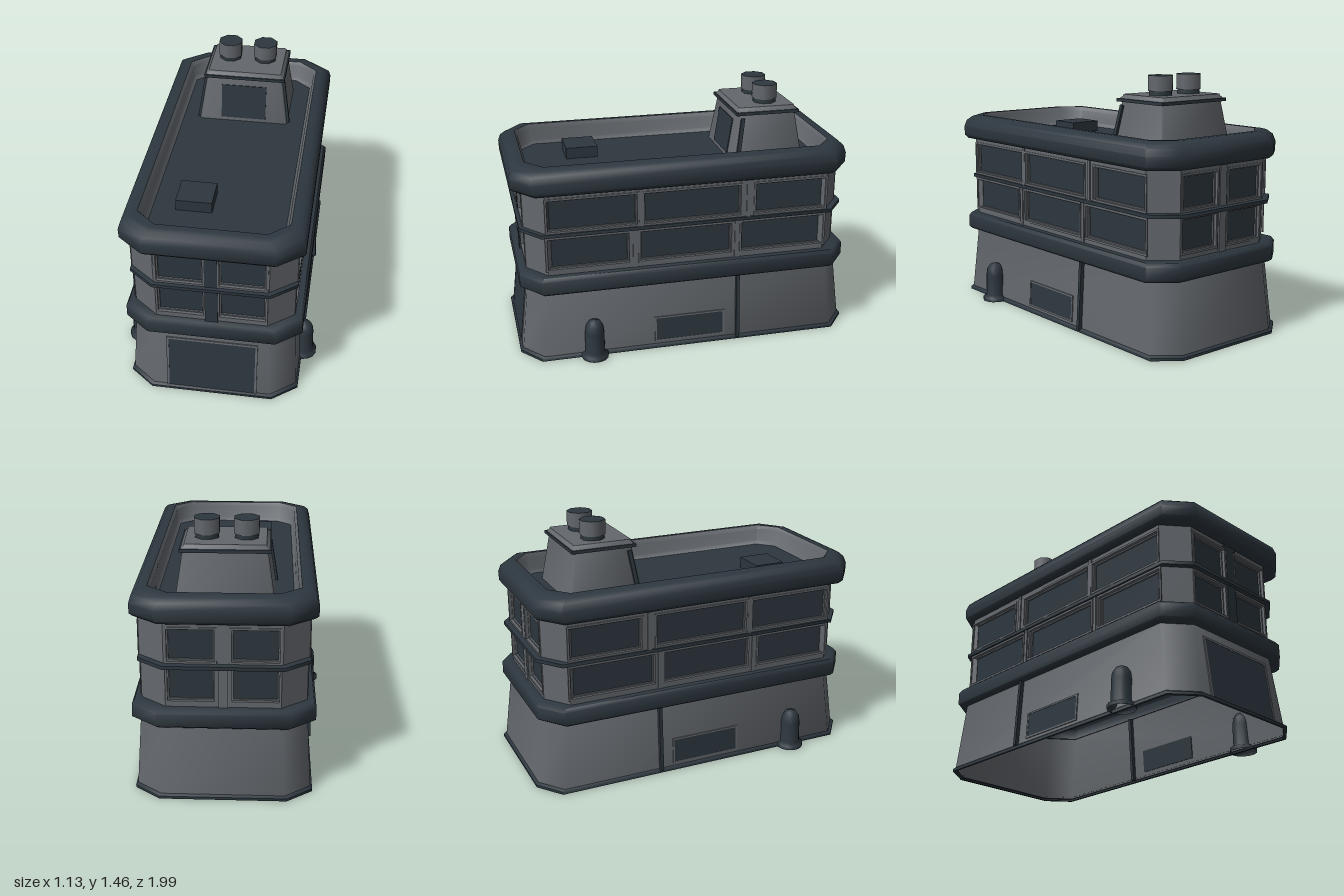
import * as THREE from 'three';
import { toCreasedNormals } from 'three/addons/utils/BufferGeometryUtils.js';

const dark = new THREE.MeshStandardMaterial({ color: 0x2d373f, side: THREE.DoubleSide });
dark.name = 'dark slate';
const grey = new THREE.MeshStandardMaterial({ color: 0x64686d, side: THREE.DoubleSide });
grey.name = 'cool grey';

function add(parent, name, geometry, material, x = 0, y = 0, z = 0) {
  const mesh = new THREE.Mesh(geometry, material);
  mesh.name = name;
  mesh.position.set(x, y, z);
  parent.add(mesh);
  return mesh;
}
const box = (w, h, d) => new THREE.BoxGeometry(w, h, d);

// Rectangle with cut corners, listed as [x, z]
function ring(hx, hz, cx = 0.14, cz = 0.11) {
  return [[-hx + cx, hz], [hx - cx, hz], [hx, hz - cz], [hx, -hz + cz],
    [hx - cx, -hz], [-hx + cx, -hz], [-hx, -hz + cz], [-hx, hz - cz]];
}

// Softly shaded shell through cut-corner rings: [y, hx, hz, cx, cz]
function loft(levels) {
  const pos = [];
  const rings = levels.map(([y, ...r]) => ring(...r).map(([x, z]) => [x, y, z]));
  for (let i = 0; i + 1 < rings.length; i++) {
    for (let k = 0; k < 8; k++) {
      const n = (k + 1) % 8;
      const a = rings[i][k], b = rings[i][n], c = rings[i + 1][n], d = rings[i + 1][k];
      pos.push(...a, ...b, ...c, ...a, ...c, ...d);
    }
  }
  const g = new THREE.BufferGeometry();
  g.setAttribute('position', new THREE.Float32BufferAttribute(pos, 3));
  return toCreasedNormals(g, 0.95);
}

function rectPath(Type, x0, x1, y0, y1) {
  return new Type([[x0, y0], [x1, y0], [x1, y1], [x0, y1]].map(p => new THREE.Vector2(...p)));
}
function panelGeometry(x0, x1, y0, y1, holes, depth) {
  const s = rectPath(THREE.Shape, x0, x1, y0, y1);
  for (const h of holes) s.holes.push(rectPath(THREE.Path, ...h));
  return new THREE.ExtrudeGeometry(s, { depth, bevelEnabled: false });
}
const frameGeometry = (x0, x1, y0, y1, t, depth) =>
  panelGeometry(x0 - t, x1 + t, y0 - t, y1 + t, [[x0, x1, y0, y1]], depth);

// One storey: eight wall panels with recessed windows
function storey(name, hx, hz, y0, y1, win, sideWindows, ribs) {
  const g = new THREE.Group();
  g.name = name;
  const pts = ring(hx, hz);
  const ends = [[-0.295, -0.045], [0.045, 0.295]];
  const flip = list => list.map(([a, b]) => [-b, -a]);
  const layout = { 0: ends, 2: flip(sideWindows), 4: ends, 6: sideWindows };
  for (let k = 0; k < 8; k++) {
    const a = new THREE.Vector3(pts[k][0], 0, pts[k][1]);
    const q = pts[(k + 1) % 8];
    const b = new THREE.Vector3(q[0], 0, q[1]);
    const dir = b.clone().sub(a), half = dir.length() / 2;
    const face = new THREE.Group();
    face.name = k % 2 ? 'cornerWall' : 'windowWall';
    face.position.copy(a).lerp(b, 0.5);
    face.rotation.y = Math.atan2(-dir.z, dir.x);
    g.add(face);
    const holes = (layout[k] || []).map(([u0, u1]) => [u0, u1, ...win]);
    add(face, 'wall', panelGeometry(-half, half, y0, y1, holes, 0.03), grey, 0, 0, -0.03);
    for (const [u0, u1, v0, v1] of holes) {
      add(face, 'windowPane', box(u1 - u0, v1 - v0, 0.008), dark, (u0 + u1) / 2, (v0 + v1) / 2, -0.026);
      add(face, 'windowReveal', frameGeometry(u0 + 0.008, u1 - 0.008, v0 + 0.008, v1 - 0.008, 0.008, 0.01),
        grey, 0, 0, -0.022);
      add(face, 'windowFrame', frameGeometry(u0, u1, v0, v1, 0.012, 0.005), grey);
    }
    if (k === 2 || k === 6) {
      for (const r of ribs) {
        add(face, 'wallRib', box(0.022, y1 - y0, 0.012), grey, k === 2 ? -r : r, (y0 + y1) / 2, 0);
      }
    }
  }
  return g;
}

export function createModel() {
  const model = new THREE.Group();
  model.name = 'twoStoreyBlock';

  // Flared, open-bottomed base
  add(model, 'baseWalls', loft([[0.015, 0.475, 0.976], [0.42, 0.452, 0.93]]), grey, 0, 0, -0.01);
  add(model, 'baseSkirt', loft([[0, 0.472, 0.976], [0, 0.485, 0.99], [0.015, 0.485, 0.99], [0.025, 0.474, 0.976]]),
    dark, 0, 0, -0.009);

  // Front gate
  const gate = new THREE.Group();
  gate.name = 'frontGate';
  gate.position.set(0, 0.02, 0.966);
  gate.rotation.x = -Math.atan2(0.046, 0.405);
  add(gate, 'gateDoor', box(0.49, 0.335, 0.009), dark, 0, 0.168, 0);
  add(gate, 'gateFrame', frameGeometry(-0.245, 0.245, 0, 0.335, 0.013, 0.006), grey);
  model.add(gate);

  // Side fittings on the base, mirrored
  for (const s of [1, -1]) {
    const side = new THREE.Group();
    side.name = s > 0 ? 'leftBaseFittings' : 'rightBaseFittings';
    side.position.set(s * 0.475, 0.02, 0);
    side.rotation.y = s * Math.PI / 2;
    model.add(side);
    const tilt = new THREE.Group();
    tilt.name = 'slopedFittings';
    tilt.rotation.x = -Math.atan2(0.023, 0.405);
    side.add(tilt);
    add(tilt, 'vent', box(0.4, 0.135, 0.009), dark, 0, 0.097, 0);
    add(tilt, 'ventFrame', frameGeometry(-0.2, 0.2, 0.03, 0.165, 0.01, 0.006), grey);
    add(tilt, 'wallSeam', box(0.02, 0.4, 0.045), dark, s * 0.288, 0.195, 0);

    const profile = [[0.078, 0], [0.078, 0.022], [0.057, 0.035], [0.056, 0.16],
      [0.05, 0.2], [0.032, 0.228], [0, 0.24]].map(p => new THREE.Vector2(...p));
    add(model, 'domedBollard', new THREE.LatheGeometry(profile, 14), dark, s * 0.49, 0, 0.568);
  }

  // Heavy ledge above the base
  add(model, 'ledge', loft([[0.415, 0.445, 0.92], [0.415, 0.485, 0.955], [0.428, 0.495, 0.97],
    [0.5, 0.495, 0.97], [0.52, 0.483, 0.955], [0.52, 0.435, 0.905]]), dark, 0, 0, -0.006);

  // Two window storeys
  model.add(storey('lowerStorey', 0.447, 0.92, 0.51, 0.76, [0.555, 0.735],
    [[-0.81, -0.31], [-0.25, 0.285], [0.35, 0.81]], [0.317, -0.28]));
  model.add(storey('upperStorey', 0.453, 0.925, 0.76, 1.01, [0.785, 0.965],
    [[-0.81, -0.39], [-0.3, 0.262], [0.302, 0.805]], [0.282, -0.345]));
  add(model, 'middleStringCourse', loft([[0.75, 0.44, 0.91], [0.75, 0.46, 0.955], [0.77, 0.46, 0.955],
    [0.775, 0.44, 0.91]]), dark, 0, 0, -0.005);
  add(model, 'frontPost', box(0.07, 0.49, 0.03), dark, 0, 0.76, 0.917);
  add(model, 'frontPostHead', box(0.1, 0.02, 0.03), dark, 0, 0.995, 0.917);
  add(model, 'backPost', box(0.05, 0.49, 0.024), grey, 0, 0.76, -0.918);

  // Rounded roof rim, light inner parapet and sunken deck
  add(model, 'roofRim', loft([[1.0, 0.43, 0.9], [1.0, 0.478, 0.96], [1.02, 0.494, 0.978],
    [1.075, 0.495, 0.98], [1.115, 0.483, 0.968], [1.14, 0.458, 0.943], [1.148, 0.43, 0.915, 0.125, 0.1],
    [1.148, 0.405, 0.885, 0.11, 0.095]]), dark, 0, 0, 0.014);
  add(model, 'parapetInside', loft([[1.148, 0.405, 0.885, 0.11, 0.095], [1.125, 0.39, 0.87, 0.1, 0.09],
    [1.05, 0.385, 0.865, 0.1, 0.09], [1.03, 0.37, 0.85, 0.095, 0.085]]), grey, 0, 0, 0.014);
  const deck = new THREE.Shape(ring(0.375, 0.855, 0.095, 0.085).map(p => new THREE.Vector2(...p)));
  add(model, 'roofDeck', new THREE.ShapeGeometry(deck).rotateX(-Math.PI / 2), dark, 0, 1.03, 0.014);
  add(model, 'roofHatch', box(0.2, 0.065, 0.185), dark, -0.14, 1.0625, 0.53);

  // Tapered stair tower
  const tower = new THREE.Group();
  tower.name = 'roofTower';
  tower.position.set(0, 1.03, -0.517);
  model.add(tower);
  add(tower, 'towerWalls', loft([[0, 0.268, 0.212, 0.01, 0.01], [0.28, 0.226, 0.168, 0.01, 0.01]]), grey);
  const doorway = add(tower, 'towerDoor', box(0.27, 0.21, 0.009), dark, 0, 0.125, 0.193);
  doorway.rotation.x = -Math.atan2(0.044, 0.28);
  for (const s of [1, -1]) {
    const rib = add(tower, 'towerCornerRib', box(0.018, 0.26, 0.022), dark, s * 0.254, 0.13, 0.168);
    rib.rotation.set(-0.156, 0, s * 0.15);
  }
  add(tower, 'towerEave', box(0.485, 0.018, 0.375), dark, 0, 0.284, 0);
  add(tower, 'towerCap', loft([[0.293, 0.235, 0.18, 0.01, 0.01], [0.305, 0.222, 0.17, 0.01, 0.01],
    [0.316, 0.218, 0.166, 0.01, 0.01], [0.316, 0, 0, 0, 0]]), grey);

  // Twin octagonal chimneys
  for (const x of [-0.11, 0.103]) {
    add(tower, 'chimneyNeck', new THREE.CylinderGeometry(0.066, 0.068, 0.04, 8).rotateY(Math.PI / 8),
      dark, x, 0.33, -0.02);
    add(tower, 'chimneyPot', new THREE.CylinderGeometry(0.073, 0.073, 0.085, 8).rotateY(Math.PI / 8),
      [grey, dark, dark], x, 0.3825, -0.02);
  }
  return model;
}
